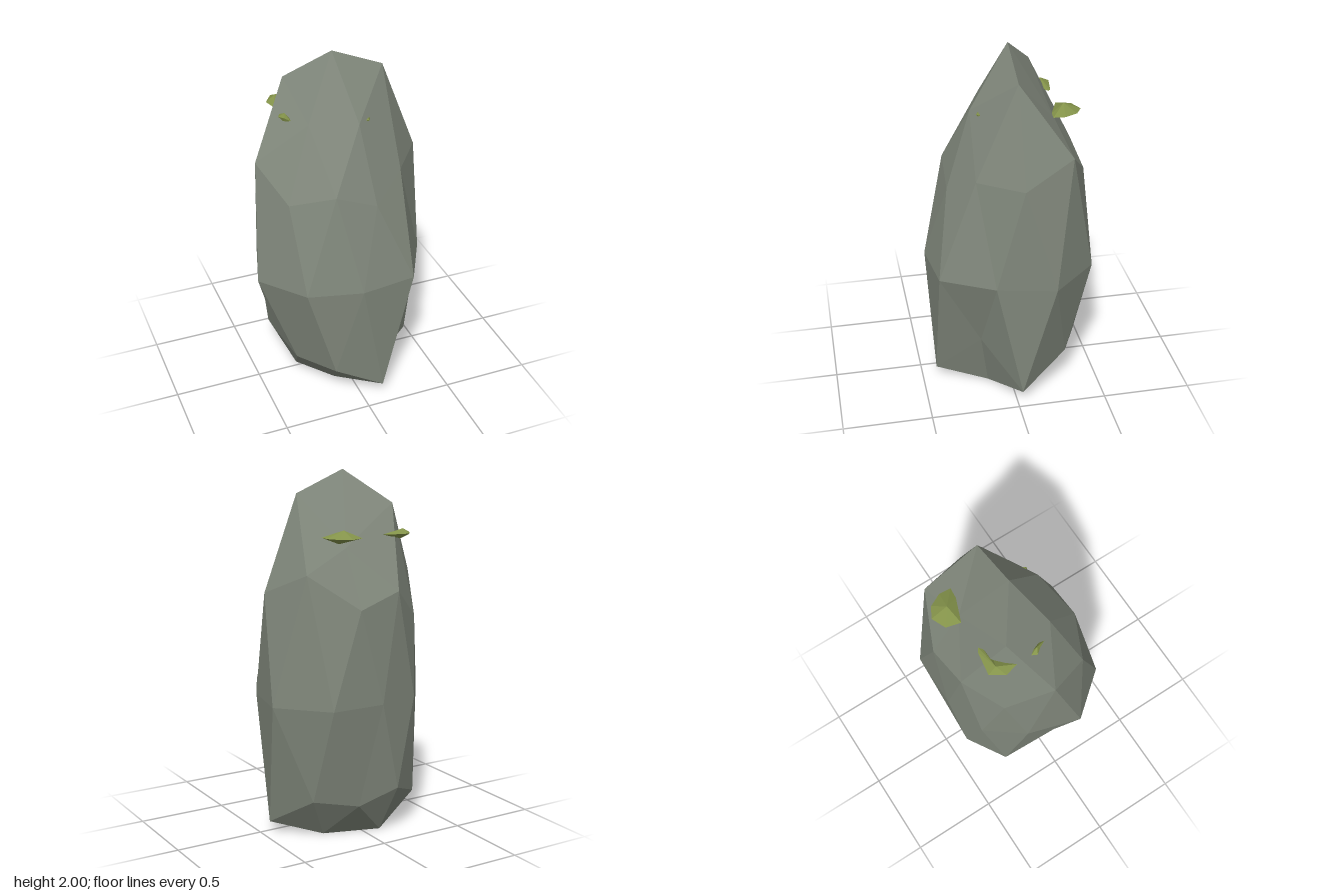
import * as THREE from 'three';

const stone = new THREE.MeshStandardMaterial({ color: 0x80877b });
stone.name = 'grey stone';
const mossGreen = new THREE.MeshStandardMaterial({ color: 0x84934a });
mossGreen.name = 'moss green';

// Flat-faced mesh from a list of triangle corners
function facetMesh(name, triangles, material) {
  const geometry = new THREE.BufferGeometry();
  geometry.setAttribute('position', new THREE.Float32BufferAttribute(triangles.flat(2), 3));
  geometry.computeVertexNormals();
  const mesh = new THREE.Mesh(geometry, material);
  mesh.name = name;
  return mesh;
}

// Zigzag band between two rings with the same number of corners
function band(upper, lower) {
  const n = upper.length;
  return upper.flatMap((u, i) => {
    const j = (i + 1) % n;
    return [[u, upper[j], lower[i]], [upper[j], lower[j], lower[i]]];
  });
}

// Band between a small ring and a ring with twice the corners
function shoulder(small, big, flip) {
  const n = small.length;
  const tris = small.flatMap((s, k) => {
    const before = big[(2 * k + 2 * n - 1) % (2 * n)];
    const main = big[2 * k];
    const after = big[2 * k + 1];
    return [[s, main, before], [s, after, main], [s, small[(k + 1) % n], after]];
  });
  return flip ? tris.map(([a, b, c]) => [a, c, b]) : tris;
}

// Fan from a tip over a ring, facing up, or down when flipped
function fan(tip, ring, flip) {
  return ring.map((p, i) => {
    const q = ring[(i + 1) % ring.length];
    return flip ? [tip, p, q] : [tip, q, p];
  });
}

// Tall boulder: rings from the peak to the foot
function createBoulder() {
  const peak = [-0.02, 2, -0.03];
  const crown = [[0.27, 1.88, -0.03], [0.05, 1.66, 0.19], [-0.2, 1.66, 0.1], [-0.24, 1.82, -0.19], [0.1, 1.6, -0.26]];
  const chest = [
    [0.47, 1.36, -0.03], [0.29, 1.35, 0.2], [0.1, 1.23, 0.33], [-0.13, 1.32, 0.32], [-0.36, 1.27, 0.22],
    [-0.46, 1.42, -0.03], [-0.34, 1.2, -0.27], [-0.14, 1.37, -0.41], [0.11, 1.29, -0.43], [0.37, 1.48, -0.31],
  ];
  const waist = [
    [0.45, 0.12], [0.295, 0.41], [-0.02, 0.45], [-0.32, 0.375], [-0.52, 0.13],
    [-0.43, -0.17], [-0.27, -0.38], [-0.02, -0.45], [0.29, -0.45], [0.52, -0.2],
  ].map(([x, z]) => [x, 0.77, z]);
  const base = [
    [0.28, 0.34, 0.18], [0.12, 0.065, 0.42], [-0.16, 0.22, 0.39], [-0.32, 0.22, 0.18], [-0.39, 0.32, 0.05],
    [-0.345, 0.175, -0.27], [-0.14, 0.27, -0.42], [0.1, 0.2, -0.4], [0.33, 0.235, -0.3], [0.455, 0.065, -0.03],
  ];
  const foot = [[0.21, 0.13], [-0.09, 0.18], [-0.255, -0.03], [-0.1, -0.3], [0.21, -0.2]].map(([x, z]) => [x, 0, z]);

  return facetMesh('boulder', [
    ...fan(peak, crown),
    ...shoulder(crown, chest),
    ...band(chest, waist),
    ...band(waist, base),
    ...shoulder(foot, base, true),
    ...fan([0, 0, -0.04], foot, true),
  ], stone);
}

// Moss tuft: an outline seen from above, with a raised top and a sunken underside
function createMoss(name, outline, y, top, bottom) {
  const rim = outline.map(([x, z]) => [x, y, z]);
  return facetMesh(name, [...fan(top, rim), ...fan(bottom, rim, true)], mossGreen);
}

export function createModel() {
  const model = new THREE.Group();
  model.name = 'mossyBoulder';
  model.add(
    createBoulder(),
    createMoss('mossBackLeft',
      [[0.04, -0.28], [0.06, -0.36], [0.14, -0.395], [0.2, -0.36], [0.235, -0.29], [0.23, -0.225], [0.17, -0.23]],
      1.66, [0.14, 1.7, -0.3], [0.15, 1.625, -0.27]),
    createMoss('mossBackRight',
      [[-0.32, -0.24], [-0.27, -0.315], [-0.14, -0.295], [-0.12, -0.28], [-0.14, -0.265], [-0.21, -0.25], [-0.3, -0.165]],
      1.66, [-0.26, 1.685, -0.265], [-0.25, 1.63, -0.26]),
    createMoss('mossRight',
      [[-0.315, -0.05], [-0.3, -0.08], [-0.28, -0.06], [-0.265, -0.01], [-0.27, 0.02], [-0.29, -0.02]],
      1.66, [-0.285, 1.685, -0.035], [-0.29, 1.635, -0.035]),
    createMoss('mossFront',
      [[0.1, 0.16], [0.135, 0.14], [0.115, 0.165]],
      1.66, [0.115, 1.675, 0.156], [0.118, 1.65, 0.156]),
  );
  return model;
}
